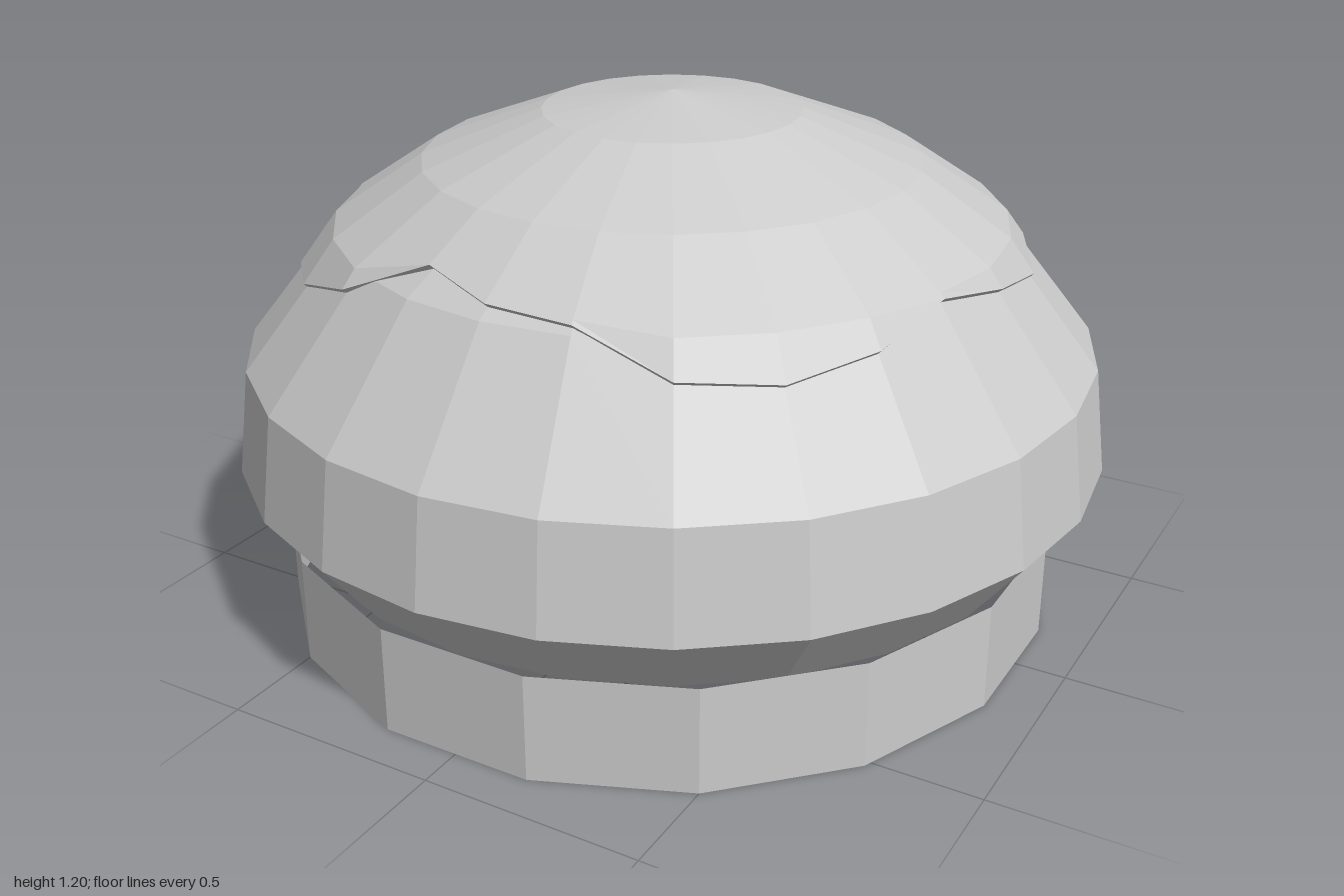
import * as THREE from 'three';

const SIDES = 24;

// Icing edge radius at each 15 degree step, from the front towards +x
const EDGE = [
  0.73, 0.745, 0.81, 0.82, 0.80, 0.765, 0.79, 0.815, 0.80, 0.83, 0.80, 0.735,
  0.80, 0.86, 0.82, 0.83, 0.80, 0.755, 0.76, 0.757, 0.85, 0.83, 0.79, 0.69,
];

// Outline of the cake dome between its upper rings, as height by radius
function domeHeight(r) {
  return r < 0.76 ? 0.92 + (0.76 - r) * 0.675 : 0.92 - (r - 0.76) * 1.38;
}

const material = new THREE.MeshStandardMaterial({
  color: 0xcccccc, flatShading: true, side: THREE.DoubleSide,
});

function facetedMesh(geometry, name) {
  const flat = geometry.toNonIndexed();
  flat.computeVertexNormals();
  const mesh = new THREE.Mesh(flat, material);
  mesh.name = name;
  return mesh;
}

function lathe(points) {
  return new THREE.LatheGeometry(points.map(([r, y]) => new THREE.Vector2(r, y)), SIDES);
}

export function createModel() {
  const model = new THREE.Group();
  model.name = 'cupcake';

  // Open paper case
  const caseGeometry = new THREE.CylinderGeometry(0.9, 0.9, 0.245, 16, 1, true);
  caseGeometry.rotateY(Math.PI / 16);
  caseGeometry.translate(0, 0.1225, 0.015);
  model.add(facetedMesh(caseGeometry, 'paperCase'));

  // Cake dome with a flat underside
  model.add(facetedMesh(lathe([
    [0, 0.225], [0.87, 0.225], [1, 0.39], [0.97, 0.63],
    [0.75, 0.91], [0.55, 1.04], [0.285, 1.145], [0, 1.185],
  ]), 'cake'));

  // Icing cap: the three lowest rings follow the wavy edge
  const icing = lathe([[0.78, 0.8], [0.8, 0.8], [0.75, 0.92], [0.56, 1.055], [0.29, 1.16], [0, 1.2]]);
  const position = icing.attributes.position;
  const rings = 6;
  for (let i = 0; i <= SIDES; i++) {
    const angle = (i / SIDES) * Math.PI * 2;
    const r = EDGE[i % SIDES];
    const mid = Math.min(0.76, r - 0.01);
    const rows = [
      [r - 0.02, domeHeight(r) - 0.02],
      [r, domeHeight(r)],
      [mid, domeHeight(mid)],
    ];
    rows.forEach(([radius, y], j) => {
      position.setXYZ(i * rings + j, radius * Math.sin(angle), y, radius * Math.cos(angle));
    });
  }
  model.add(facetedMesh(icing, 'icing'));

  return model;
}
